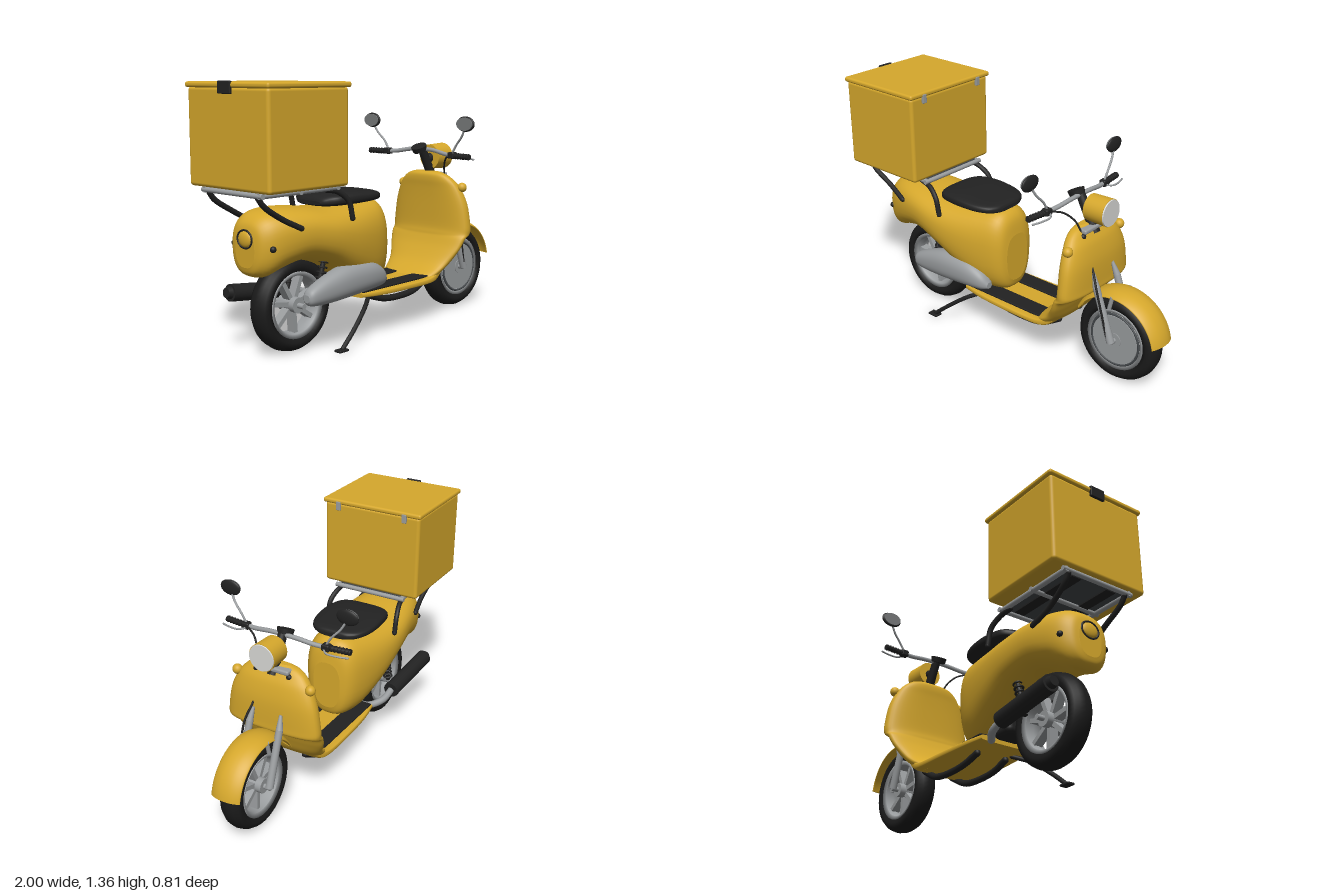
import * as THREE from 'three';
import { RoundedBoxGeometry } from 'three/addons/geometries/RoundedBoxGeometry.js';

const mat = (name, color) => Object.assign(new THREE.MeshStandardMaterial({ color }), { name });
const V = (x, y, z) => new THREE.Vector3(x, y, z);

// Smoothly resample rows of numbers with a Catmull-Rom rule
function smoothRows(rows, sub) {
  const out = [], n = rows.length, at = i => rows[Math.max(0, Math.min(n - 1, i))];
  for (let i = 0; i < n - 1; i++) for (let k = 0; k < sub; k++) {
    const t = k / sub, a = at(i - 1), b = at(i), c = at(i + 1), d = at(i + 2);
    out.push(b.map((_, j) => 0.5 * (2 * b[j] + (c[j] - a[j]) * t + (2 * a[j] - 5 * b[j] + 4 * c[j] - d[j]) * t * t
      + (3 * b[j] - a[j] - 3 * c[j] + d[j]) * t * t * t)));
  }
  out.push(rows[n - 1]);
  return out;
}

// Skin superellipse cross-sections; place(row, c, s) positions each ring point
function loft(rows, place, power = 2.5, sub = 5, seg = 40) {
  const list = smoothRows(rows, sub), pos = [], idx = [];
  const sup = v => Math.sign(v) * Math.abs(v) ** (2 / power);
  const ring = row => Array.from({ length: seg }, (_, j) => {
    const a = j / seg * Math.PI * 2;
    return place(row, sup(Math.cos(a)), sup(Math.sin(a)));
  });
  const rings = list.map(ring);
  rings.forEach(r => r.forEach(p => pos.push(p.x, p.y, p.z)));
  for (let i = 0; i < rings.length - 1; i++) for (let j = 0; j < seg; j++) {
    const a = i * seg + j, b = i * seg + (j + 1) % seg, c = a + seg, d = b + seg;
    idx.push(a, b, c, b, d, c);
  }
  [0, rings.length - 1].forEach((ri, end) => {
    const base = pos.length / 3, mid = V(0, 0, 0);
    rings[ri].forEach(p => { pos.push(p.x, p.y, p.z); mid.addScaledVector(p, 1 / seg); });
    pos.push(mid.x, mid.y, mid.z);
    for (let j = 0; j < seg; j++) {
      const a = base + j, b = base + (j + 1) % seg;
      idx.push(...(end ? [a, b, base + seg] : [b, a, base + seg]));
    }
  });
  // Turn the faces outward if the enclosed volume is negative
  let vol = 0;
  const P = i => V(pos[3 * i], pos[3 * i + 1], pos[3 * i + 2]);
  for (let i = 0; i < idx.length; i += 3) vol += P(idx[i]).dot(P(idx[i + 1]).cross(P(idx[i + 2])));
  if (vol < 0) for (let i = 0; i < idx.length; i += 3) [idx[i], idx[i + 1]] = [idx[i + 1], idx[i]];
  const g = new THREE.BufferGeometry();
  g.setAttribute('position', new THREE.Float32BufferAttribute(pos, 3));
  g.setIndex(idx);
  g.computeVertexNormals();
  return g;
}

export function createModel() {
  const yellow = mat('yellowPaint', 0xd6a82c), black = mat('blackPlastic', 0x222222), tyreMat = mat('tyreRubber', 0x1b1b1b);
  const metal = mat('greyMetal', 0x9a9d9f), lens = mat('lightLens', 0xd9d9d6), plate = mat('rackPlate', 0x45494c);
  const glass = mat('mirrorGlass', 0x77797a);
  const root = new THREE.Group();
  root.name = 'deliveryScooter';

  const add = (name, geo, m, x = 0, y = 0, z = 0, parent = root) => {
    const mesh = new THREE.Mesh(geo, m);
    mesh.name = name;
    mesh.position.set(x, y, z);
    parent.add(mesh);
    return mesh;
  };
  // Straight capped rod between two points
  const rod = (name, a, b, r1, r2, m, parent = root) => {
    const A = V(...a), B = V(...b), mid = A.clone().add(B).multiplyScalar(0.5);
    const mesh = add(name, new THREE.CylinderGeometry(r2, r1, A.distanceTo(B), 20), m, mid.x, mid.y, mid.z, parent);
    mesh.quaternion.setFromUnitVectors(V(0, 1, 0), B.sub(A).normalize());
    return mesh;
  };
  // Bent tube with rounded ends
  const tube = (name, pts, r, m) => {
    const p = pts.map(q => V(...q)), g = new THREE.Group();
    g.name = name;
    root.add(g);
    add(name + 'Pipe', new THREE.TubeGeometry(new THREE.CatmullRomCurve3(p), 24, r, 10), m, 0, 0, 0, g);
    [p[0], p[p.length - 1]].forEach(e => add(name + 'End', new THREE.SphereGeometry(r, 10, 8), m, e.x, e.y, e.z, g));
  };
  const spin = (pts, seg = 56) => new THREE.LatheGeometry(pts.map(p => new THREE.Vector2(...p)), seg).rotateX(Math.PI / 2);
  const discZ = (r, h) => new THREE.CylinderGeometry(r, r, h, 40).rotateX(Math.PI / 2);
  const discX = (r1, r2, h) => new THREE.CylinderGeometry(r1, r2, h, 40).rotateZ(-Math.PI / 2);
  const bySide = f => [1, -1].forEach(f);

  // Wheels
  const wheel = (name, x, count) => {
    const g = new THREE.Group();
    g.name = name;
    g.position.set(x, 0.242, 0);
    root.add(g);
    add('tyre', spin([[0.17, -0.05], [0.195, -0.062], [0.22, -0.055], [0.236, -0.032], [0.242, 0], [0.236, 0.032],
      [0.22, 0.055], [0.195, 0.062], [0.17, 0.05], [0.165, 0], [0.17, -0.05]]), tyreMat, 0, 0, 0, g);
    add('rim', spin([[0.15, -0.045], [0.172, -0.055], [0.172, 0.055], [0.15, 0.045], [0.146, 0], [0.15, -0.045]]), metal, 0, 0, 0, g);
    add('hub', discZ(0.04, 0.12), metal, 0, 0, 0, g);
    add('axle', discZ(0.014, 0.2), metal, 0, 0, 0, g);
    for (let i = 0; i < count; i++) {
      const a = i / count * Math.PI * 2 + 0.3;
      const s = add('spoke', new THREE.BoxGeometry(0.13, 0.024, 0.05), metal, Math.cos(a) * 0.09, Math.sin(a) * 0.09, 0, g);
      s.rotation.z = a;
    }
    return g;
  };
  wheel('rearWheel', -0.592, 7);
  const front = wheel('frontWheel', 0.728, 7);
  add('wheelCover', discZ(0.138, 0.012), metal, 0, 0, 0.05, front);
  add('coverRing', new THREE.TorusGeometry(0.146, 0.006, 8, 48), plate, 0, 0, 0.052, front);

  // Front mudguard
  add('frontMudguard', loft([[0.19], [0.8], [1.4], [2], [2.65]], ([a], c, s) => {
    const r = 0.27 + s * 0.007 - 0.022 * c * c;
    return V(0.73 + Math.cos(a) * r, 0.247 + Math.sin(a) * r, c * 0.085);
  }, 3, 8), yellow);

  // Leg shield and floor
  add('legShield', loft([[0.835, 0.475, 0.51, 0.08], [0.82, 0.458, 0.53, 0.13], [0.79, 0.455, 0.55, 0.175], [0.74, 0.46, 0.575, 0.215],
    [0.65, 0.465, 0.595, 0.252], [0.53, 0.468, 0.6, 0.272], [0.485, 0.462, 0.596, 0.271], [0.46, 0.455, 0.545, 0.267],
    [0.4, 0.425, 0.515, 0.25], [0.32, 0.365, 0.475, 0.21], [0.26, 0.28, 0.41, 0.18], [0.222, 0.24, 0.35, 0.15]],
    ([y, b, f, w], c, s) => V((b + f) / 2 + s * (f - b) / 2, y, c * w), 2.6), yellow);
  add('floorBoard', loft([[-0.23, 0.258, 0.228, 0.16], [-0.1, 0.257, 0.222, 0.18], [0.1, 0.257, 0.22, 0.19], [0.3, 0.262, 0.222, 0.19],
    [0.38, 0.3, 0.24, 0.18], [0.43, 0.36, 0.29, 0.17]], ([x, t, b, w], c, s) => V(x, (t + b) / 2 + s * (t - b) / 2, c * w), 5), yellow);
  bySide(s => {
    add('floorMat', new RoundedBoxGeometry(0.54, 0.012, 0.1, 3, 0.005), black, 0.05, 0.261, s * 0.107);
    tube('underTube', [[-0.1, 0.21, s * 0.09], [0, 0.18, s * 0.095], [0.14, 0.17, s * 0.095], [0.27, 0.185, s * 0.095], [0.39, 0.25, s * 0.09]], 0.018, black);
    add('turnSignal', new THREE.SphereGeometry(0.027, 20, 14), yellow, 0.535, 0.75, s * 0.218);
  });

  // Rear body
  add('rearBody', loft([[-0.885, 0.64, 0.47, 0.07], [-0.87, 0.69, 0.435, 0.11], [-0.82, 0.73, 0.418, 0.15], [-0.73, 0.747, 0.45, 0.18],
    [-0.6, 0.742, 0.475, 0.205], [-0.45, 0.725, 0.43, 0.222], [-0.3, 0.725, 0.34, 0.215], [-0.15, 0.735, 0.265, 0.19],
    [-0.05, 0.735, 0.257, 0.16], [0, 0.69, 0.275, 0.125], [0.018, 0.6, 0.32, 0.085]],
    ([x, t, b, w], c, s) => V(x, (t + b) / 2 + s * (t - b) / 2, c * w * (1 + 0.08 * Math.min(s, 0))), 2.7), yellow);
  add('tailLamp', new THREE.SphereGeometry(0.04, 24, 16).scale(0.4, 1, 1.2), yellow, -0.882, 0.61, 0);
  add('tailLampRim', new THREE.TorusGeometry(0.044, 0.005, 8, 32).rotateY(Math.PI / 2).scale(1, 1, 1.2), black, -0.884, 0.61, 0);
  bySide(s => add('rearBolt', new THREE.SphereGeometry(0.016, 16, 12), black, -0.83, 0.57, s * 0.142));

  // Seat
  add('seat', loft([[-0.455, 0.755, 0.735, 0.08], [-0.44, 0.775, 0.728, 0.11], [-0.39, 0.795, 0.725, 0.16], [-0.28, 0.802, 0.725, 0.18],
    [-0.16, 0.793, 0.728, 0.175], [-0.08, 0.785, 0.73, 0.145], [-0.045, 0.775, 0.733, 0.1], [-0.035, 0.76, 0.738, 0.06]],
    ([x, t, b, w], c, s) => V(x, (t + b) / 2 + s * (t - b) / 2, c * w), 3), black);

  // Engine cover, shocks, exhaust and stand
  add('driveCover', loft([[-0.625, 0.315, 0.275, 0.02], [-0.6, 0.345, 0.255, 0.04], [-0.5, 0.39, 0.25, 0.055], [-0.36, 0.428, 0.257, 0.068],
    [-0.2, 0.428, 0.27, 0.068], [-0.1, 0.385, 0.28, 0.05], [-0.055, 0.33, 0.295, 0.02]],
    ([x, t, b, w], c, s) => V(x, (t + b) / 2 + s * (t - b) / 2, 0.152 + c * w), 2.3), metal);
  bySide(s => {
    const a = [-0.46, 0.48, s * 0.11], b = [-0.52, 0.27, s * 0.11];
    rod('shockAbsorber', a, b, 0.013, 0.013, black);
    for (let i = 1; i < 8; i++) {
      const coil = add('shockCoil', new THREE.TorusGeometry(0.022, 0.006, 6, 20).rotateX(Math.PI / 2), black, -0.46 - 0.0075 * i, 0.48 - 0.026 * i, s * 0.11);
      coil.rotation.z = -0.28;
    }
  });
  add('engineBlock', new RoundedBoxGeometry(0.22, 0.14, 0.16, 3, 0.03), black, -0.24, 0.32, 0);
  rod('muffler', [-0.42, 0.262, -0.18], [-0.82, 0.305, -0.2], 0.045, 0.045, black);
  rod('mufflerTip', [-0.815, 0.305, -0.2], [-0.845, 0.308, -0.2], 0.034, 0.026, black);
  tube('exhaustPipe', [[-0.2, 0.26, -0.07], [-0.26, 0.225, -0.12], [-0.34, 0.235, -0.17], [-0.43, 0.262, -0.18]], 0.02, metal);
  tube('sideStand', [[-0.13, 0.225, 0.11], [-0.22, 0.18, 0.165], [-0.34, 0.09, 0.2], [-0.43, 0.015, 0.21]], 0.012, black);
  add('standFoot', new RoundedBoxGeometry(0.065, 0.012, 0.045, 2, 0.004), black, -0.44, 0.006, 0.21);

  // Cargo box
  add('cargoBox', new RoundedBoxGeometry(0.515, 0.48, 0.588, 4, 0.018), yellow, -0.723, 1.095, 0);
  add('boxLid', new RoundedBoxGeometry(0.535, 0.028, 0.608, 4, 0.012), yellow, -0.722, 1.344, 0);
  add('boxLatch', new RoundedBoxGeometry(0.016, 0.06, 0.09, 2, 0.004), black, -0.988, 1.333, 0);
  bySide(s => add('boxHinge', new RoundedBoxGeometry(0.014, 0.05, 0.028, 2, 0.003), metal, -0.458, 1.322, s * 0.205));

  // Luggage rack
  bySide(s => {
    rod('rackSideRail', [-0.965, 0.84, s * 0.2], [-0.46, 0.84, s * 0.2], 0.014, 0.014, metal);
    tube('rearRackStrut', [[-0.95, 0.828, s * 0.18], [-0.92, 0.79, s * 0.18], [-0.8, 0.715, s * 0.175], [-0.69, 0.66, s * 0.19]], 0.014, black);
    tube('frontRackStrut', [[-0.52, 0.83, s * 0.19], [-0.45, 0.815, s * 0.2], [-0.39, 0.765, s * 0.215], [-0.365, 0.675, s * 0.218]], 0.014, black);
  });
  [-0.955, -0.715, -0.465].forEach(x => rod('rackCrossRail', [x, 0.84, -0.22], [x, 0.84, 0.22], 0.013, 0.013, metal));
  add('rackPlate', new THREE.BoxGeometry(0.48, 0.012, 0.38), plate, -0.71, 0.85, 0);
  bySide(s => add('rackPad', new THREE.BoxGeometry(0.44, 0.008, 0.06), black, -0.71, 0.841, s * 0.11));

  // Fork and steering column
  bySide(s => {
    rod('forkLeg', [0.728, 0.242, s * 0.09], [0.625, 0.53, s * 0.09], 0.021, 0.019, metal);
    rod('forkTop', [0.625, 0.53, s * 0.09], [0.598, 0.6, s * 0.082], 0.019, 0.008, metal);
    rod('forkCap', [0.7, 0.43, s * 0.075], [0.716, 0.5, s * 0.075], 0.011, 0.011, metal);
    add('clampEnd', new THREE.SphereGeometry(0.017, 16, 12), black, 0.535, 0.79, s * 0.097);
  });
  tube('brakeHose', [[0.54, 0.71, 0.08], [0.59, 0.63, 0.085], [0.645, 0.52, 0.112], [0.71, 0.28, 0.105]], 0.006, black);
  rod('steeringColumn', [0.54, 0.78, 0], [0.44, 0.965, 0], 0.028, 0.024, black);
  add('forkClamp', new RoundedBoxGeometry(0.05, 0.026, 0.2, 3, 0.01), metal, 0.53, 0.815, 0);

  // Headlight and gauge
  add('headlight', discX(0.074, 0.07, 0.12), yellow, 0.568, 0.915, 0);
  add('headlightLens', discX(0.07, 0.072, 0.008), lens, 0.63, 0.915, 0);
  rod('headlightBracket', [0.47, 0.9, 0], [0.52, 0.91, 0], 0.022, 0.03, black);
  const gauge = add('gauge', new THREE.CylinderGeometry(0.045, 0.04, 0.03, 32), black, 0.415, 0.968, 0);
  gauge.rotation.z = 0.4;

  // Handlebar, controls and mirrors
  tube('handlebar', [[0.41, 0.94, -0.25], [0.425, 0.945, -0.18], [0.44, 0.962, -0.07], [0.44, 0.962, 0.07], [0.425, 0.945, 0.18], [0.41, 0.94, 0.25]], 0.012, metal);
  bySide(s => {
    rod('grip', [0.412, 0.94, s * 0.245], [0.4, 0.94, s * 0.368], 0.015, 0.015, black);
    for (let i = 0; i < 6; i++) add('gripRib', new THREE.TorusGeometry(0.015, 0.003, 6, 16), black, 0.41 - i * 0.002, 0.94, s * (0.265 + i * 0.019));
    add('switchBox', new RoundedBoxGeometry(0.04, 0.036, 0.045, 3, 0.008), black, 0.415, 0.942, s * 0.238);
    tube('brakeLever', [[0.425, 0.935, s * 0.225], [0.455, 0.93, s * 0.26], [0.452, 0.928, s * 0.32], [0.435, 0.925, s * 0.37]], 0.005, metal);
    tube('mirrorStem', [[0.415, 0.95, s * 0.235], [0.415, 1.0, s * 0.265], [0.405, 1.05, s * 0.31], [0.395, 1.1, s * 0.338]], 0.006, metal);
    add('mirrorShell', new THREE.SphereGeometry(1, 28, 18).scale(0.014, 0.042, 0.061), black, 0.394, 1.12, s * 0.343);
    add('mirrorGlass', discX(1, 1, 0.006).scale(1, 0.036, 0.053), glass, 0.382, 1.12, s * 0.343);
  });
  tube('brakeCable', [[0.43, 0.94, 0.215], [0.46, 0.92, 0.16], [0.5, 0.87, 0.115], [0.53, 0.8, 0.095]], 0.005, black);
  return root;
}
